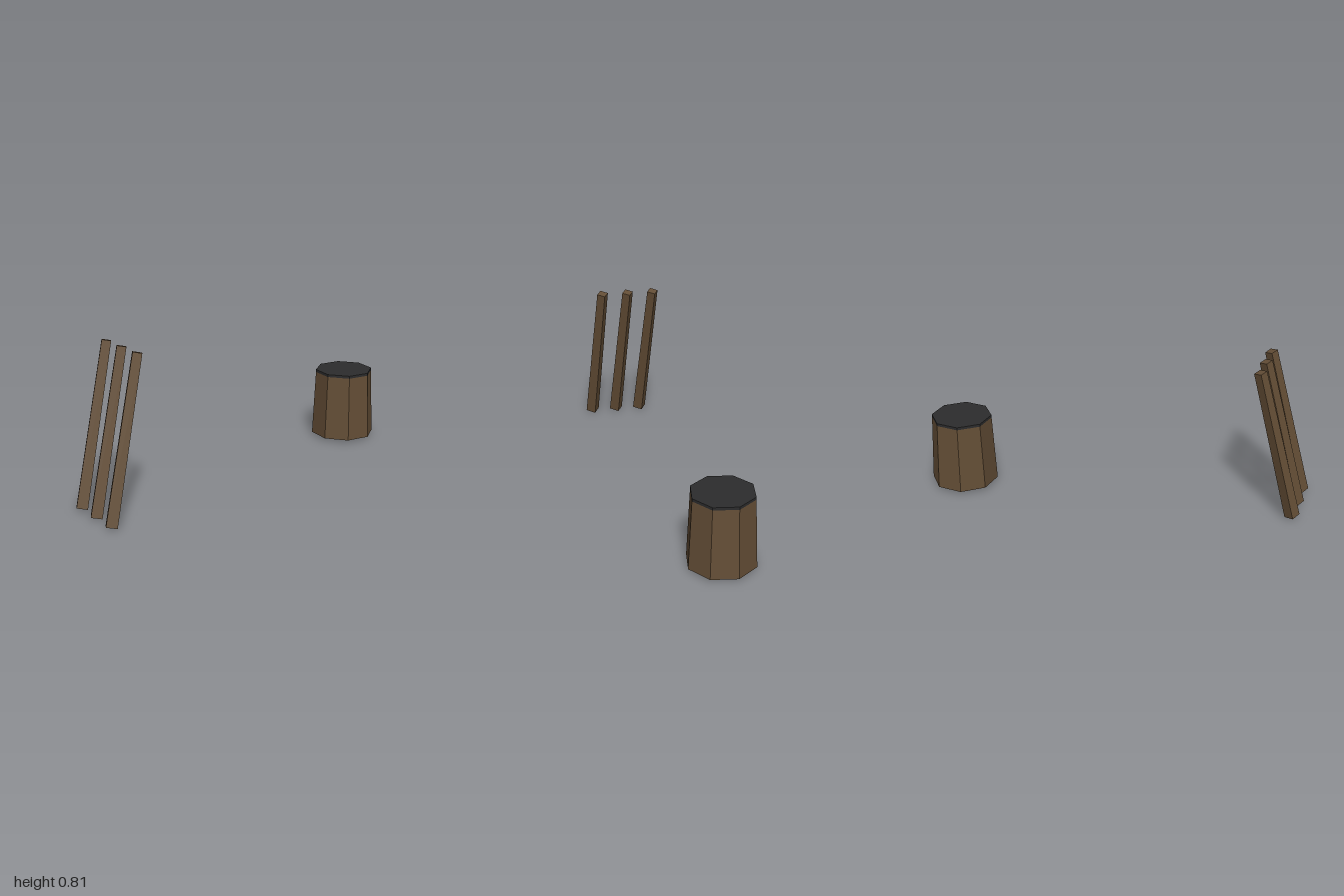
import * as THREE from 'three';

export function createModel() {
  const model = new THREE.Group();
  const wood = new THREE.MeshStandardMaterial({ name: 'brown wood', color: 0x644e36, flatShading: true });
  const dark = new THREE.MeshStandardMaterial({ name: 'dark lid', color: 0x2c2c2d, flatShading: true });

  function add(name, material, [rTop, rBottom, height, sides], [x, y, z]) {
    const mesh = new THREE.Mesh(new THREE.CylinderGeometry(rTop, rBottom, height, sides), material);
    mesh.name = name;
    mesh.position.set(x, y, z);
    model.add(mesh);
    return mesh;
  }

  // Eight-sided tapered barrel with a thin dark lid
  add('barrel', wood, [0.157, 0.173, 0.354, 8], [0.826, 0.189, 0.11]);
  add('barrelLid', dark, [0.157, 0.157, 0.014, 8], [0.826, 0.373, 0.11]);

  // Three leaning square poles, each stepped back and inward
  for (let i = 0; i < 3; i++) {
    const pole = add('pole' + (i + 1), wood, [0.0315, 0.0385, 0.813, 4],
      [-0.862 + i * 0.0375, 0.403, 0.025 - i * 0.134]);
    pole.rotation.z = -0.25;
  }
  return model;
}
